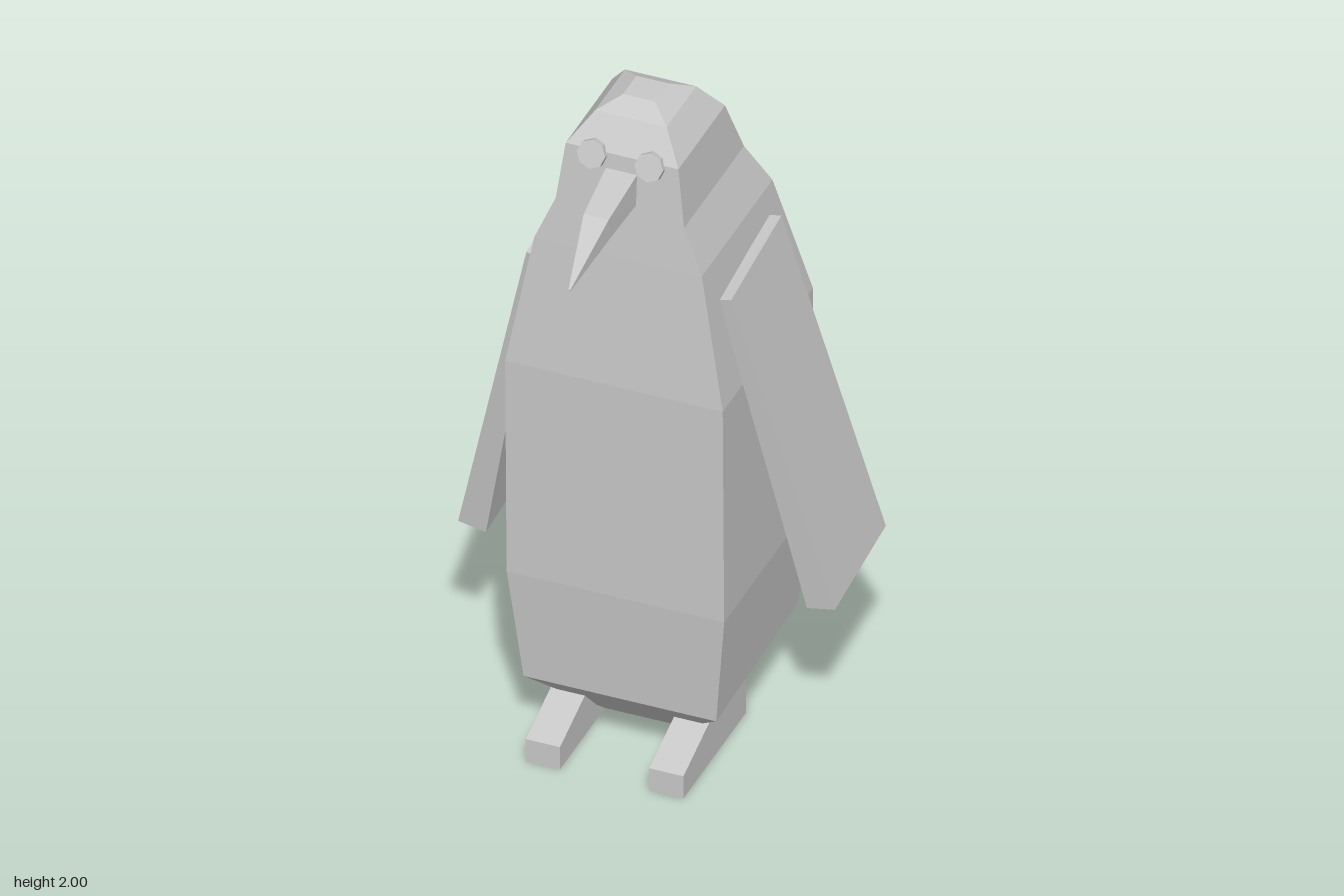
import * as THREE from 'three';

const grey = new THREE.MeshStandardMaterial({ color: 0xc8c8c8, flatShading: true });
grey.name = 'light grey';

// Joins four-cornered rings (counterclockwise about the direction of travel) into a closed solid
function loft(name, rings) {
  const pos = [];
  const quad = (a, b, c, d) => pos.push(...a, ...b, ...c, ...a, ...c, ...d);
  for (let r = 0; r < rings.length - 1; r++) {
    for (let i = 0; i < 4; i++) {
      const j = (i + 1) % 4;
      quad(rings[r][i], rings[r][j], rings[r + 1][j], rings[r + 1][i]);
    }
  }
  const end = rings[rings.length - 1];
  quad(...[...rings[0]].reverse());
  quad(...end);
  const geo = new THREE.BufferGeometry();
  geo.setAttribute('position', new THREE.Float32BufferAttribute(pos, 3));
  geo.computeVertexNormals();
  const mesh = new THREE.Mesh(geo, grey);
  mesh.name = name;
  return mesh;
}

// Mirrors rings across x = 0, keeping the faces outward
const mirror = (rings) => rings.map((ring) => ring.map(([x, y, z]) => [-x, y, z]).reverse());

// Horizontal ring: half width, front y and z, back y and z
const level = ([w, yf, zf, yb, zb]) => [[-w, yf, zf], [w, yf, zf], [w, yb, zb], [-w, yb, zb]];

// Upright ring facing +z: half width, bottom y and z, top y and z
const upright = ([w, y0, z0, y1, z1]) => [[-w, y0, z0], [w, y0, z0], [w, y1, z1], [-w, y1, z1]];

export function createModel() {
  const model = new THREE.Group();
  model.name = 'penguin';

  // Body and head in one tapering column
  model.add(loft('body', [
    [0.11, 0.03, 0.08, 0.03, -0.14],
    [0.27, 0.19, 0.24, 0.21, -0.31],
    [0.305, 0.53, 0.27, 0.53, -0.34],
    [0.305, 1.2, 0.28, 1.2, -0.33],
    [0.235, 1.59, 0.252, 1.59, -0.225],
    [0.18, 1.72, 0.24, 1.72, -0.165],
    [0.158, 1.89, 0.225, 1.89, -0.09],
    [0.1, 1.97, 0.165, 1.97, -0.035],
    [0.045, 2.0, 0.11, 2.0, 0.02],
  ].map(level)));

  // Hooked beak
  model.add(loft('beak', [
    [0.045, 1.755, 0.22, 1.85, 0.2],
    [0.035, 1.745, 0.38, 1.81, 0.4],
    [0.003, 1.692, 0.58, 1.697, 0.58],
  ].map(upright)));

  // Tail, from the tip forward into the back
  model.add(loft('tail', [
    [0.025, 0.125, -0.57, 0.175, -0.588],
    [0.118, 0.185, -0.28, 0.42, -0.325],
  ].map(upright)));

  // Flippers, thicker at the tip
  const flipper = [
    [[0.45, 0.48, 0.06], [0.528, 0.495, 0.06], [0.526, 0.535, -0.29], [0.445, 0.52, -0.29]],
    [[0.252, 1.475, 0.18], [0.287, 1.483, 0.18], [0.283, 1.525, -0.17], [0.25, 1.518, -0.17]],
  ];
  model.add(loft('leftFlipper', flipper), loft('rightFlipper', mirror(flipper)));

  for (const [side, s] of [['left', 1], ['right', -1]]) {
    // Wedge-shaped foot
    const foot = loft(side + 'Foot', [
      [0.048, 0, -0.08, 0.145, -0.08],
      [0.048, 0, 0.16, 0.13, 0.16],
      [0.048, 0, 0.343, 0.07, 0.343],
    ].map(upright));
    foot.position.x = s * 0.173;
    model.add(foot);

    // Eight-sided eye, tilted up to follow the brow
    const eye = new THREE.Mesh(new THREE.CylinderGeometry(0.04, 0.04, 0.026, 8), grey);
    eye.name = side + 'Eye';
    eye.position.set(s * 0.081, 1.88, 0.228);
    eye.rotation.x = Math.PI / 2 - 0.32;
    model.add(eye);
  }
  return model;
}
